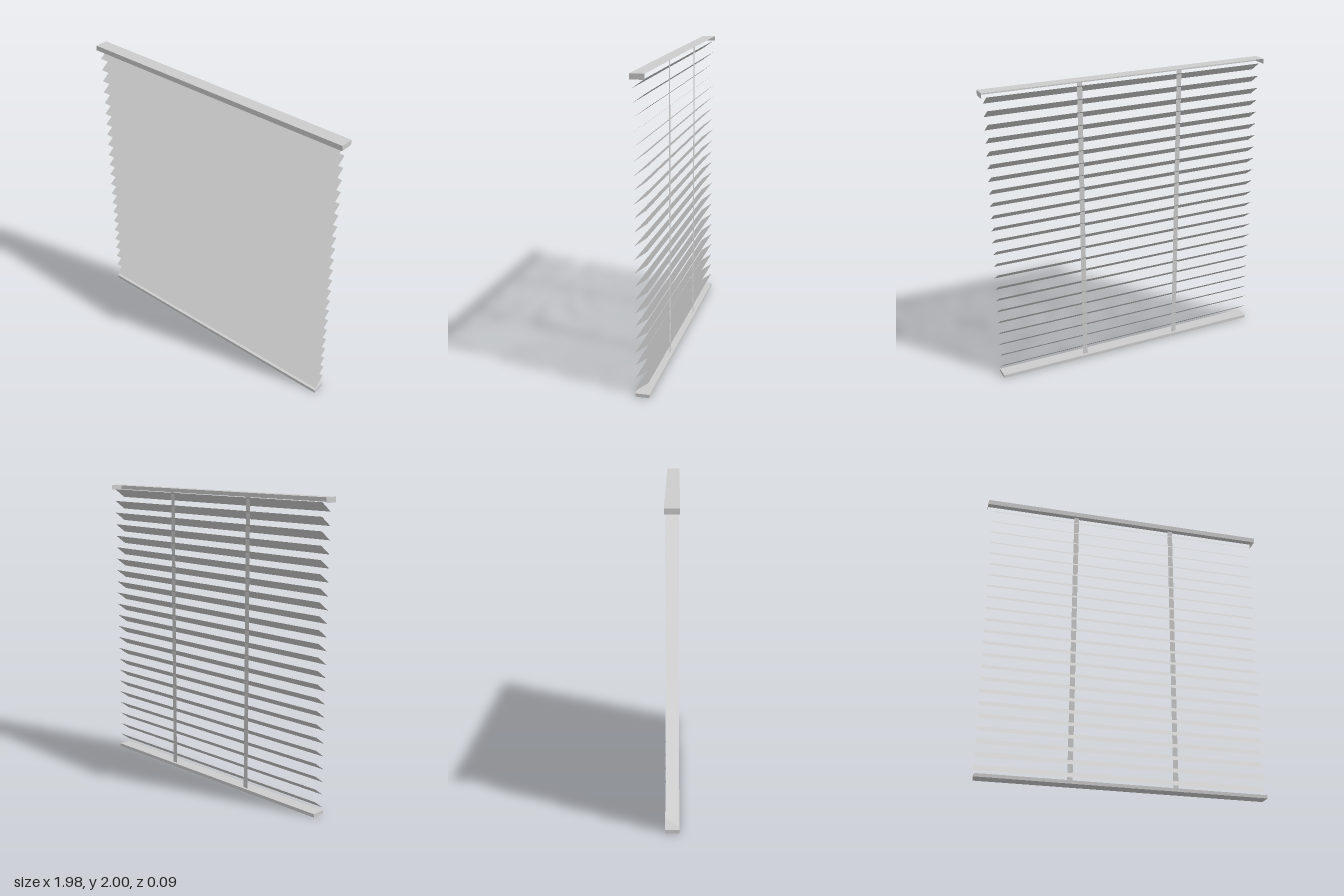
import * as THREE from 'three';

const material = new THREE.MeshStandardMaterial({
  color: 0xcccccc, side: THREE.DoubleSide, flatShading: true,
});

export function createModel() {
  const model = new THREE.Group();
  model.name = 'windowBlind';

  const add = (name, geometry, x, y, z, parent = model) => {
    const mesh = new THREE.Mesh(geometry, material);
    mesh.name = name;
    mesh.position.set(x, y, z);
    parent.add(mesh);
    return mesh;
  };

  // Head rail: thin sheet cover, open at the back and underneath
  const halfRail = 0.992, depth = 0.09, railHeight = 0.034;
  const railY = 2 - railHeight / 2;
  const headRail = new THREE.Group();
  headRail.name = 'headRail';
  model.add(headRail);
  add('headRailTop', new THREE.PlaneGeometry(halfRail * 2, depth).rotateX(-Math.PI / 2), 0, 2, 0, headRail);
  add('headRailFront', new THREE.PlaneGeometry(halfRail * 2, railHeight), 0, railY, depth / 2, headRail);
  for (const side of [-1, 1]) {
    add('headRailEnd', new THREE.PlaneGeometry(depth, railHeight).rotateY(side * Math.PI / 2),
      side * halfRail, railY, 0, headRail);
  }

  // Slats: flat sheets tilted so the lower edge leans forward
  const slatCount = 23, slatRise = 0.059, slatRun = 0.08;
  const slatGeometry = new THREE.PlaneGeometry(1.92, Math.hypot(slatRise, slatRun))
    .rotateX(-Math.atan2(slatRun, slatRise));
  const slats = new THREE.Group();
  slats.name = 'slats';
  model.add(slats);
  for (let i = 0; i < slatCount; i++) {
    add('slat', slatGeometry, 0, 0.0725 + i * 0.0849, 0, slats);
  }

  // Ladder tapes behind the slats
  const bottomHeight = 0.022;
  const tapeLength = 2 - bottomHeight;
  for (const side of [-1, 1]) {
    add('ladderTape', new THREE.PlaneGeometry(0.035, tapeLength),
      side * 0.352, bottomHeight + tapeLength / 2, -0.026);
  }

  // Bottom rail
  add('bottomRail', new THREE.BoxGeometry(1.92, bottomHeight, depth), 0, bottomHeight / 2, 0);

  return model;
}
